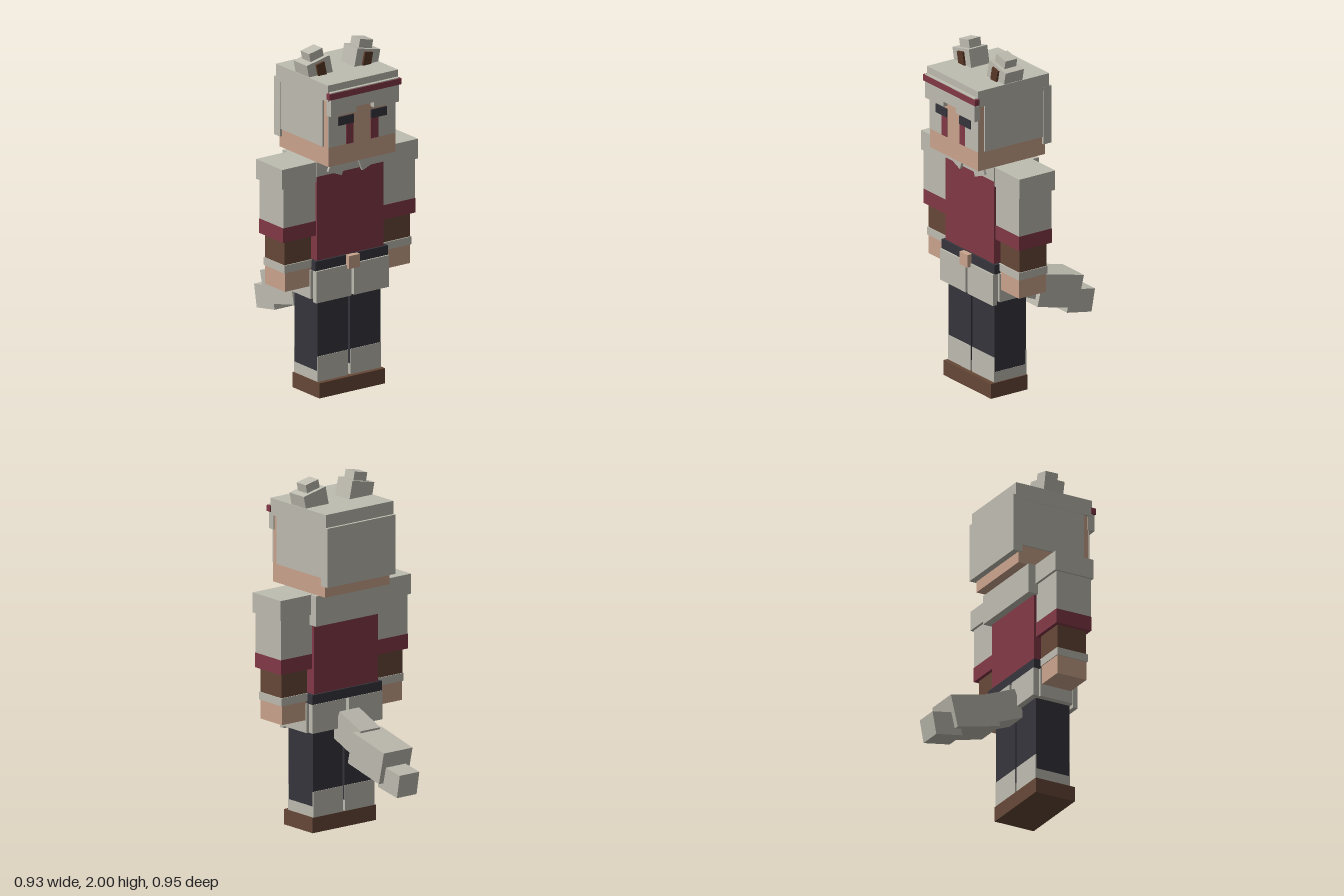
import * as THREE from 'three';

const material = (name, color) => {
  const m = new THREE.MeshStandardMaterial({ color });
  m.name = name;
  return m;
};

export function createModel() {
  const pale = material('pale cloth and hair', 0xbfbdb1);
  const red = material('dark red', 0x823947);
  const skin = material('skin', 0xcba58d);
  const dark = material('charcoal', 0x36353c);
  const brown = material('leather brown', 0x664837);
  const earBrown = material('inner ear brown', 0x583826);

  const model = new THREE.Group();
  const group = (name) => {
    const g = new THREE.Group();
    g.name = name;
    model.add(g);
    return g;
  };

  // Box between two limits on each axis
  const box = (parent, name, mat, [x0, x1], [y0, y1], [z0, z1]) => {
    const mesh = new THREE.Mesh(new THREE.BoxGeometry(x1 - x0, y1 - y0, z1 - z0), mat);
    mesh.position.set((x0 + x1) / 2, (y0 + y1) / 2, (z0 + z1) / 2);
    mesh.name = name;
    parent.add(mesh);
    return mesh;
  };
  // The same box on the left (+x) or right (-x) side
  const sideBox = (parent, s, name, mat, [x0, x1], y, z) =>
    box(parent, name, mat, s > 0 ? [x0, x1] : [-x1, -x0], y, z);
  // Tilted box given by centre and size
  const tilted = (parent, name, mat, size, centre, rx, rz) => {
    const mesh = new THREE.Mesh(new THREE.BoxGeometry(...size), mat);
    mesh.position.set(...centre);
    mesh.rotation.set(rx, 0, rz);
    mesh.name = name;
    parent.add(mesh);
    return mesh;
  };

  // Head and hair
  const head = group('head');
  box(head, 'face', skin, [-0.23, 0.23], [1.375, 1.77], [-0.015, 0.44]);
  box(head, 'hairSides', pale, [-0.24, 0.24], [1.485, 1.77], [-0.035, 0.4]);
  box(head, 'hairTop', pale, [-0.242, 0.242], [1.76, 1.855], [-0.035, 0.45]);
  box(head, 'hairBack', pale, [-0.243, 0.243], [1.44, 1.78], [-0.052, 0.005]);
  box(head, 'fringe', pale, [-0.235, 0.235], [1.705, 1.815], [0.43, 0.47]);
  box(head, 'headband', red, [-0.248, 0.248], [1.775, 1.81], [0.445, 0.475]);

  // Torso, collar and belt
  const torso = group('torso');
  box(torso, 'shirt', red, [-0.23, 0.23], [0.78, 1.29], [0.085, 0.332]);
  box(torso, 'collarFront', pale, [-0.235, 0.235], [1.29, 1.375], [0.085, 0.335]);
  box(torso, 'collarBack', pale, [-0.25, 0.25], [1.2, 1.374], [0.04, 0.1]);
  box(torso, 'belt', dark, [-0.25, 0.25], [0.745, 0.8], [0.073, 0.345]);
  box(torso, 'buckle', skin, [-0.04, 0.036], [0.725, 0.8], [0.34, 0.375]);
  box(torso, 'hips', dark, [-0.02, 0.02], [0.63, 0.75], [0.12, 0.31]);

  for (const s of [1, -1]) {
    const side = s > 0 ? 'left' : 'right';

    // Face details
    sideBox(head, s, side + 'Fringe', pale, [0.06, 0.235], [1.675, 1.71], [0.43, 0.47]);
    sideBox(head, s, side + 'Temple', pale, [0.165, 0.231], [1.6, 1.68], [0.437, 0.443]);
    sideBox(head, s, side + 'EyeWhite', pale, [0.108, 0.231], [1.487, 1.61], [0.437, 0.443]);
    sideBox(head, s, side + 'Iris', red, [0.06, 0.11], [1.487, 1.61], [0.437, 0.445]);
    sideBox(head, s, side + 'Brow', dark, [0.06, 0.167], [1.605, 1.655], [0.439, 0.448]);

    // Ears lean outward
    const ear = group(side + 'Ear');
    const lean = -s * 0.21;
    tilted(ear, 'earBase', pale, [0.16, 0.12, 0.125], [s * 0.162, 1.882, 0.207], 0, lean);
    tilted(ear, 'earTip', pale, [0.092, 0.062, 0.08], [s * 0.169, 1.96, 0.207], 0, lean);
    tilted(ear, 'innerEar', earBrown, [0.055, 0.09, 0.012], [s * 0.158, 1.882, 0.276], 0, lean);

    // Collar points
    tilted(torso, side + 'CollarPoint', pale, [0.1, 0.07, 0.015], [s * 0.105, 1.324, 0.342], 0, s * 0.38);

    // Arms
    const arm = group(side + 'Arm');
    sideBox(arm, s, 'shoulder', pale, [0.225, 0.467], [1.26, 1.375], [0.085, 0.33]);
    sideBox(arm, s, 'sleeve', pale, [0.232, 0.454], [1.03, 1.26], [0.1, 0.322]);
    sideBox(arm, s, 'sleeveTrim', red, [0.231, 0.455], [0.945, 1.03], [0.099, 0.323]);
    sideBox(arm, s, 'glove', brown, [0.25, 0.432], [0.8, 0.945], [0.12, 0.303]);
    sideBox(arm, s, 'wristBand', pale, [0.247, 0.437], [0.76, 0.805], [0.115, 0.31]);
    sideBox(arm, s, 'hand', skin, [0.252, 0.43], [0.65, 0.765], [0.12, 0.305]);

    // Short skirt panels around the hips
    const skirt = group(side + 'Skirt');
    sideBox(skirt, s, 'skirtHip', pale, [0.01, 0.245], [0.58, 0.746], [0.1, 0.325]);
    sideBox(skirt, s, 'skirtFront', pale, [0.01, 0.25], [0.56, 0.745], [0.325, 0.355]);
    sideBox(skirt, s, 'skirtBack', pale, [0.01, 0.25], [0.58, 0.745], [0.07, 0.1]);
    sideBox(skirt, s, 'skirtSide', pale, [0.243, 0.26], [0.577, 0.745], [0.11, 0.315]);

    // Legs and boots
    const leg = group(side + 'Leg');
    sideBox(leg, s, 'trouserLeg', dark, [0.008, 0.218], [0.15, 0.6], [0.105, 0.32]);
    sideBox(leg, s, 'sock', pale, [0.008, 0.219], [0.08, 0.15], [0.104, 0.321]);
    for (const z of [0.102, 0.317]) {
      sideBox(leg, s, 'sockPanel', pale, [0.008, 0.219], [0.08, 0.235], [z, z + 0.006]);
    }
    sideBox(leg, s, 'boot', brown, [0, 0.226], [0, 0.088], [0.1, 0.35]);
  }

  // Tail, three segments sloping down and back
  const tail = group('tail');
  tilted(tail, 'tailBase', pale, [0.14, 0.17, 0.2], [0, 0.565, -0.005], -0.39, 0);
  tilted(tail, 'tailMiddle', pale, [0.205, 0.19, 0.28], [0, 0.474, -0.2145], -0.235, 0);
  tilted(tail, 'tailTip', pale, [0.14, 0.135, 0.17], [0, 0.37, -0.376], -0.18, 0);

  return model;
}
